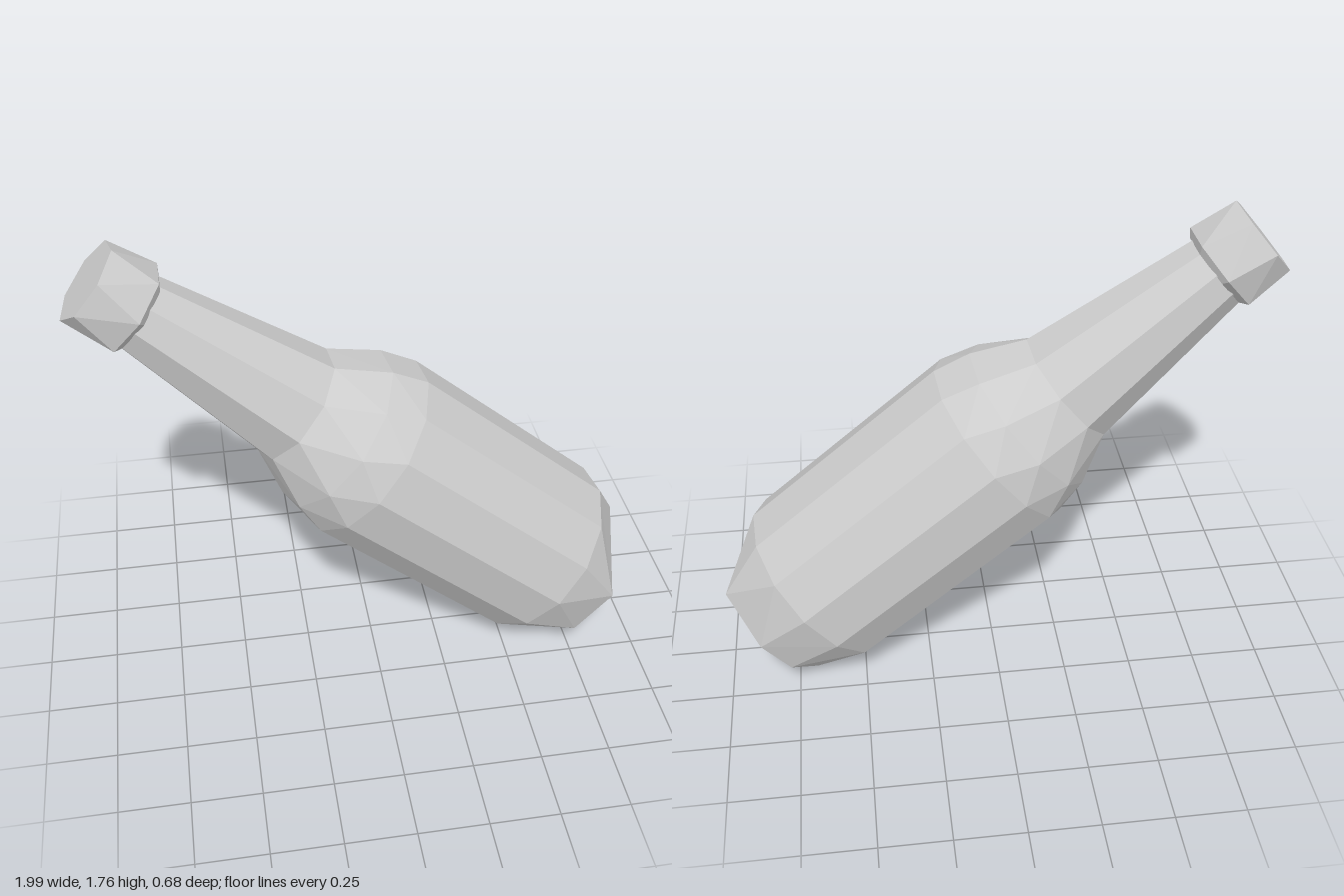
import * as THREE from 'three';

const material = new THREE.MeshStandardMaterial({ color: 0xcccccc, flatShading: true });

// Evenly spaced ring angles in degrees, within 0..360
const even = (n, phase) => Array.from({ length: n }, (_, i) => phase + (i * 360) / n);
const ring = (y, r, angles) => ({ y, r, angles });

// Skin of rings along y; neighbouring rings may have different side counts
function loftRings(name, rings) {
  const pos = [];
  const angle = (g, i) => g.angles[i % g.angles.length] + 360 * Math.floor(i / g.angles.length);
  const point = (g, i) => {
    const a = THREE.MathUtils.degToRad(angle(g, i));
    return [g.r * Math.cos(a), g.y, g.r * Math.sin(a)];
  };
  const tri = (a, b, c) => pos.push(...a, ...b, ...c);

  for (let k = 0; k + 1 < rings.length; k++) {
    const lo = rings[k], hi = rings[k + 1];
    const n = lo.angles.length, m = hi.angles.length;
    let i = 0, j = 0;
    while (i < n || j < m) {
      const midLo = angle(lo, i) + angle(lo, i + 1);
      const midHi = angle(hi, j) + angle(hi, j + 1);
      if (j >= m || (i < n && midLo <= midHi)) {
        tri(point(lo, i), point(hi, j), point(lo, i + 1));
        i++;
      } else {
        tri(point(lo, i), point(hi, j), point(hi, j + 1));
        j++;
      }
    }
  }

  // Flat ends
  const first = rings[0], last = rings[rings.length - 1];
  first.angles.forEach((_, i) => tri([0, first.y, 0], point(first, i), point(first, i + 1)));
  last.angles.forEach((_, i) => tri([0, last.y, 0], point(last, i + 1), point(last, i)));

  const geometry = new THREE.BufferGeometry();
  geometry.setAttribute('position', new THREE.Float32BufferAttribute(pos, 3));
  geometry.computeVertexNormals();
  const mesh = new THREE.Mesh(geometry, material);
  mesh.name = name;
  return mesh;
}

export function createModel() {
  const bottle = new THREE.Group();
  bottle.name = 'bottle';

  // Body with an unevenly cut base, rounded shoulder and tapering neck
  bottle.add(loftRings('bottleBody', [
    ring(0, 0.275, [70, 114, 160, 213, 251, 284, 334]),
    ring(0.235, 0.347, even(13, 7)),
    ring(1.115, 0.347, even(13, 7)),
    ring(1.248, 0.312, even(11, 9)),
    ring(1.427, 0.217, even(9, 14)),
    ring(2.1, 0.128, even(9, 14)),
  ]));

  // Wider cap with a slight twist between its two ends
  bottle.add(loftRings('cap', [
    ring(2.068, 0.138, even(7, 24)),
    ring(2.09, 0.166, even(7, 24)),
    ring(2.261, 0.15, even(7, 10)),
  ]));

  // Tilt towards the right
  bottle.rotation.z = THREE.MathUtils.degToRad(50.1);
  bottle.position.set(0.83, 0.2, 0);

  const model = new THREE.Group();
  model.name = 'tiltedBottle';
  model.add(bottle);
  return model;
}
